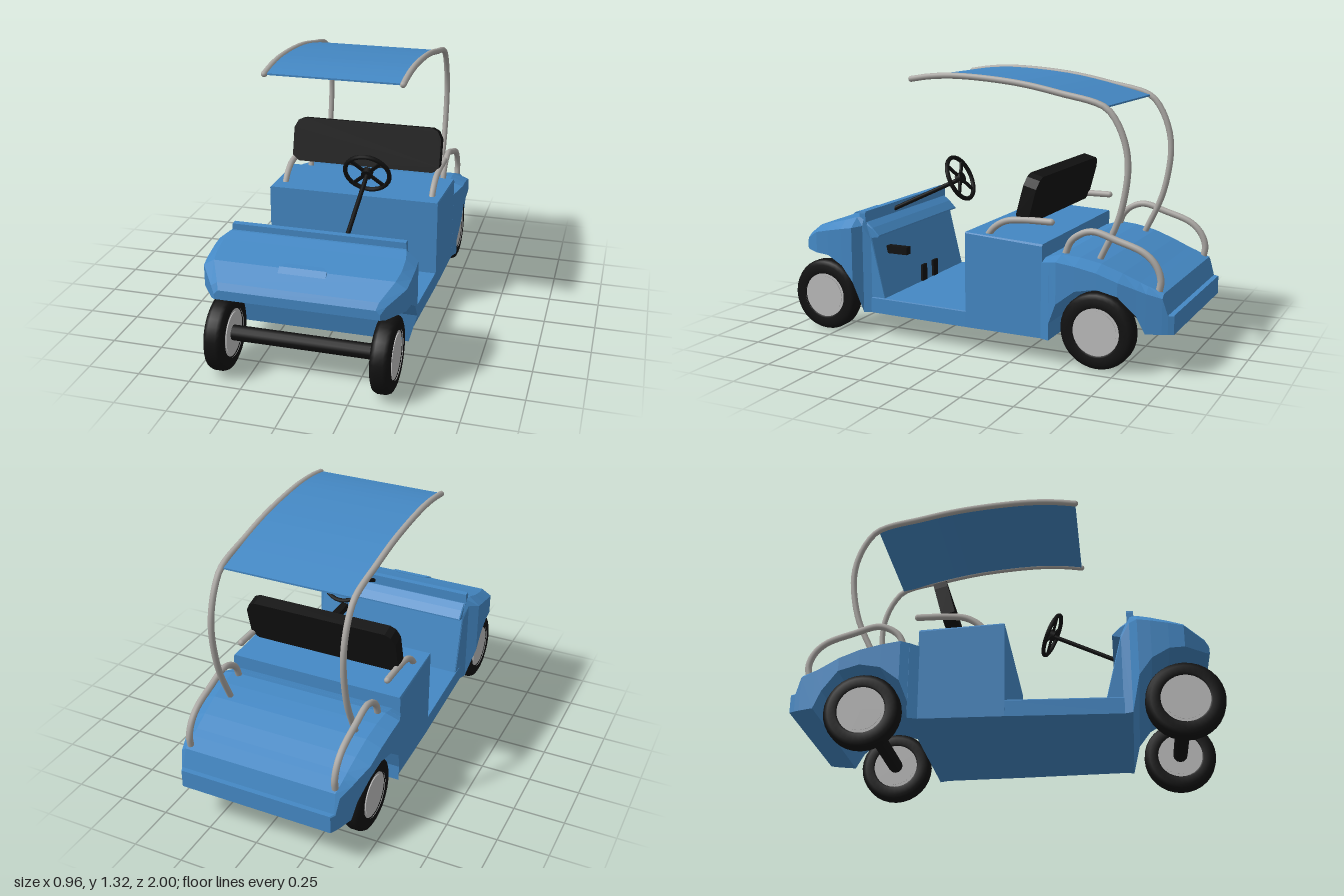
import * as THREE from 'three';

const paint = (name, color) => Object.assign(new THREE.MeshStandardMaterial({ color }), { name });

export function createModel() {
  const blue = paint('body blue', 0x4488c4);
  const black = paint('rubber black', 0x111111);
  const steel = paint('tube grey', 0xaaa7a3);
  const silver = paint('hub silver', 0xbcbcbc);
  const cart = new THREE.Group();
  cart.name = 'openCart';

  function add(name, geometry, material, x = 0, y = 0, z = 0, parent = cart) {
    const mesh = new THREE.Mesh(geometry, material);
    mesh.name = name;
    mesh.position.set(x, y, z);
    parent.add(mesh);
    return mesh;
  }
  const box = (name, w, h, d, mat, x, y, z) => add(name, new THREE.BoxGeometry(w, h, d), mat, x, y, z);

  // Faceted hull through stations [z, bottom, shoulder, top, halfWidth, topHalfWidth], front to back
  function hull(name, stations) {
    const rings = stations.map(([z, yb, ys, yt, w, wt]) =>
      [[w, yb], [w, ys], [wt, yt], [-wt, yt], [-w, ys], [-w, yb]].map(([x, y]) => [x, y, z]));
    const pos = [];
    const tri = (a, b, c) => pos.push(...a, ...b, ...c);
    for (let i = 0; i + 1 < rings.length; i++) {
      const r = rings[i], s = rings[i + 1];
      for (let j = 0; j < 6; j++) {
        const k = (j + 1) % 6;
        tri(r[j], s[j], r[k]);
        tri(r[k], s[j], s[k]);
      }
    }
    const first = rings[0], last = rings[rings.length - 1];
    for (let j = 1; j < 5; j++) {
      tri(first[0], first[j], first[j + 1]);
      tri(last[0], last[j + 1], last[j]);
    }
    const g = new THREE.BufferGeometry();
    g.setAttribute('position', new THREE.Float32BufferAttribute(pos, 3));
    g.computeVertexNormals();
    return add(name, g, blue);
  }

  // Bent tube through [z, y] points at constant x, with rounded ends
  function rail(name, x, points, radius) {
    const pts = points.map(([z, y]) => new THREE.Vector3(x, y, z));
    const curve = new THREE.CatmullRomCurve3(pts, false, 'centripetal');
    add(name, new THREE.TubeGeometry(curve, 48, radius, 10), steel);
    for (const p of [pts[0], pts[pts.length - 1]]) {
      add(name + 'End', new THREE.SphereGeometry(radius, 10, 6), steel, p.x, p.y, p.z);
    }
  }

  // Straight rod between two points
  function rod(name, a, b, radius, mat) {
    const from = new THREE.Vector3(...a), to = new THREE.Vector3(...b);
    const dir = to.clone().sub(from);
    const m = add(name, new THREE.CylinderGeometry(radius, radius, dir.length(), 12), mat);
    m.position.copy(from).lerp(to, 0.5);
    m.quaternion.setFromUnitVectors(new THREE.Vector3(0, 1, 0), dir.normalize());
    return m;
  }

  // Body
  hull('frontCowl', [
    [0.945, 0.41, 0.435, 0.455, 0.38, 0.36],
    [0.925, 0.405, 0.465, 0.485, 0.4, 0.37],
    [0.83, 0.41, 0.515, 0.545, 0.47, 0.42],
    [0.76, 0.405, 0.53, 0.562, 0.475, 0.43],
    [0.68, 0.36, 0.545, 0.583, 0.477, 0.43],
    [0.62, 0.28, 0.555, 0.6, 0.475, 0.42],
    [0.585, 0.12, 0.56, 0.6, 0.43, 0.41],
    [0.545, 0.12, 0.49, 0.51, 0.415, 0.41],
    [0.47, 0.12, 0.19, 0.2, 0.415, 0.41]
  ]);
  hull('cowlLip', [
    [0.607, 0.56, 0.62, 0.63, 0.415, 0.413],
    [0.575, 0.5, 0.62, 0.63, 0.415, 0.413]
  ]);
  hull('dashShelf', [
    [0.58, 0.5, 0.57, 0.58, 0.41, 0.405],
    [0.54, 0.5, 0.545, 0.55, 0.41, 0.405],
    [0.505, 0.507, 0.51, 0.514, 0.41, 0.405]
  ]);
  hull('hoodHandle', [
    [0.865, 0.5, 0.512, 0.52, 0.112, 0.11],
    [0.83, 0.5, 0.545, 0.552, 0.112, 0.11],
    [0.8, 0.5, 0.55, 0.555, 0.09, 0.088]
  ]);
  hull('floor', [
    [0.585, 0.12, 0.195, 0.2, 0.415, 0.413],
    [0, 0.12, 0.195, 0.2, 0.44, 0.438],
    [-0.42, 0.12, 0.195, 0.2, 0.45, 0.448]
  ]);
  hull('seatBox', [
    [0.01, 0.12, 0.58, 0.585, 0.44, 0.437],
    [-0.39, 0.12, 0.555, 0.565, 0.45, 0.445]
  ]);
  hull('rearBody', [
    [-0.385, 0.12, 0.48, 0.495, 0.45, 0.41],
    [-0.429, 0.12, 0.49, 0.508, 0.468, 0.41],
    [-0.43, 0.2, 0.49, 0.508, 0.468, 0.41],
    [-0.47, 0.3, 0.497, 0.52, 0.482, 0.41],
    [-0.56, 0.37, 0.485, 0.513, 0.479, 0.405],
    [-0.66, 0.39, 0.465, 0.493, 0.475, 0.4],
    [-0.76, 0.365, 0.43, 0.458, 0.468, 0.395],
    [-0.84, 0.28, 0.4, 0.425, 0.442, 0.39],
    [-0.88, 0.2, 0.385, 0.41, 0.43, 0.39],
    [-0.95, 0.2, 0.365, 0.383, 0.408, 0.385],
    [-0.975, 0.2, 0.285, 0.29, 0.398, 0.393],
    [-1, 0.2, 0.285, 0.29, 0.385, 0.38]
  ]);

  // Roof panel and its frame
  const roofLine = [[0.35, 1.285], [0.25, 1.3], [0.1, 1.307], [-0.2, 1.285], [-0.42, 1.245], [-0.64, 1.19]];
  const roofCurve = new THREE.CatmullRomCurve3(roofLine.map(([z, y]) => new THREE.Vector3(0, y, z)));
  hull('roofPanel', roofCurve.getPoints(15).map(({ y, z }) => [z, y - 0.004, y + 0.002, y + 0.004, 0.325, 0.324]));

  const frameLine = [...roofLine, [-0.7, 1.12], [-0.74, 1.02], [-0.752, 0.93],
    [-0.743, 0.82], [-0.71, 0.68], [-0.62, 0.48]];
  const armLine = [[-0.08, 0.56], [-0.12, 0.61], [-0.18, 0.645], [-0.26, 0.657], [-0.41, 0.66]];
  const basketLine = [[-0.47, 0.5], [-0.5, 0.575], [-0.55, 0.615], [-0.61, 0.63], [-0.72, 0.6],
    [-0.85, 0.555], [-0.905, 0.505], [-0.93, 0.44], [-0.92, 0.37]];
  for (const [side, s] of [['left', 1], ['right', -1]]) {
    rail(side + 'RoofFrame', s * 0.33, frameLine, 0.015);
    rail(side + 'ArmRail', s * 0.39, armLine, 0.016);
    rail(side + 'RearRail', s * 0.373, basketLine, 0.016);
  }

  // Backrest with clipped corners
  const pad = new THREE.Shape([[-0.36, -0.115], [0.36, -0.115], [0.395, -0.085], [0.395, 0.06], [0.375, 0.1],
    [0.345, 0.115], [-0.345, 0.115], [-0.375, 0.1], [-0.395, 0.06], [-0.395, -0.085]]
    .map(([x, y]) => new THREE.Vector2(x, y)));
  const padGeometry = new THREE.ExtrudeGeometry(pad, { depth: 0.066, bevelEnabled: false });
  padGeometry.translate(0, 0, -0.033);
  add('backrest', padGeometry, black, 0, 0.755, -0.287).rotation.x = -0.26;

  // Steering wheel, spokes and column
  rod('steeringColumn', [0.125, 0.59, 0.59], [0.125, 0.775, 0.2], 0.011, black);
  const steering = new THREE.Group();
  steering.name = 'steeringWheel';
  steering.position.set(0.125, 0.782, 0.195);
  steering.rotation.x = 0.44;
  cart.add(steering);
  add('steeringRim', new THREE.TorusGeometry(0.11, 0.011, 8, 28), black, 0, 0, 0, steering);
  const hub = add('steeringHub', new THREE.CylinderGeometry(0.028, 0.028, 0.03, 12), black, 0, 0, 0, steering);
  hub.rotation.x = Math.PI / 2;
  for (let i = 0; i < 4; i++) {
    const a = Math.PI / 4 + i * Math.PI / 2;
    const spoke = add('steeringSpoke', new THREE.BoxGeometry(0.1, 0.016, 0.01), black,
      Math.cos(a) * 0.06, Math.sin(a) * 0.06, 0, steering);
    spoke.rotation.z = a;
  }

  // Controls
  box('brakeLever', 0.04, 0.038, 0.13, black, 0.28, 0.42, 0.475);
  box('leftPedal', 0.045, 0.085, 0.012, black, 0.09, 0.265, 0.43);
  box('rightPedal', 0.045, 0.085, 0.012, black, -0.025, 0.265, 0.43);

  // Wheels and axles
  const lathe = (pts) => new THREE.LatheGeometry(pts.map(([r, h]) => new THREE.Vector2(r, h)), 32);
  const tire = lathe([[0.112, -0.04], [0.12, -0.045], [0.155, -0.045], [0.172, -0.037], [0.18, -0.02],
    [0.18, 0.02], [0.172, 0.037], [0.155, 0.045], [0.12, 0.045], [0.112, 0.04]]);
  const ring = lathe([[0.098, 0.036], [0.1, 0.044], [0.115, 0.046], [0.118, 0.04]]);
  const disc = new THREE.CylinderGeometry(0.114, 0.114, 0.078, 32);
  for (const [end, z, x] of [['front', 0.82, 0.385], ['rear', -0.65, 0.398]]) {
    rod(end + 'Axle', [-x, 0.18, z], [x, 0.18, z], 0.036, black);
    for (const s of [1, -1]) {
      const wheel = new THREE.Group();
      wheel.name = end + (s > 0 ? 'LeftWheel' : 'RightWheel');
      wheel.position.set(s * x, 0.18, z);
      wheel.rotation.z = -s * Math.PI / 2;
      cart.add(wheel);
      add('tire', tire, black, 0, 0, 0, wheel);
      add('hubDisc', disc, silver, 0, 0, 0, wheel);
      add('outerRim', ring, silver, 0, 0, 0, wheel);
      add('innerRim', ring, silver, 0, 0, 0, wheel).rotation.x = Math.PI;
    }
  }
  return cart;
}
